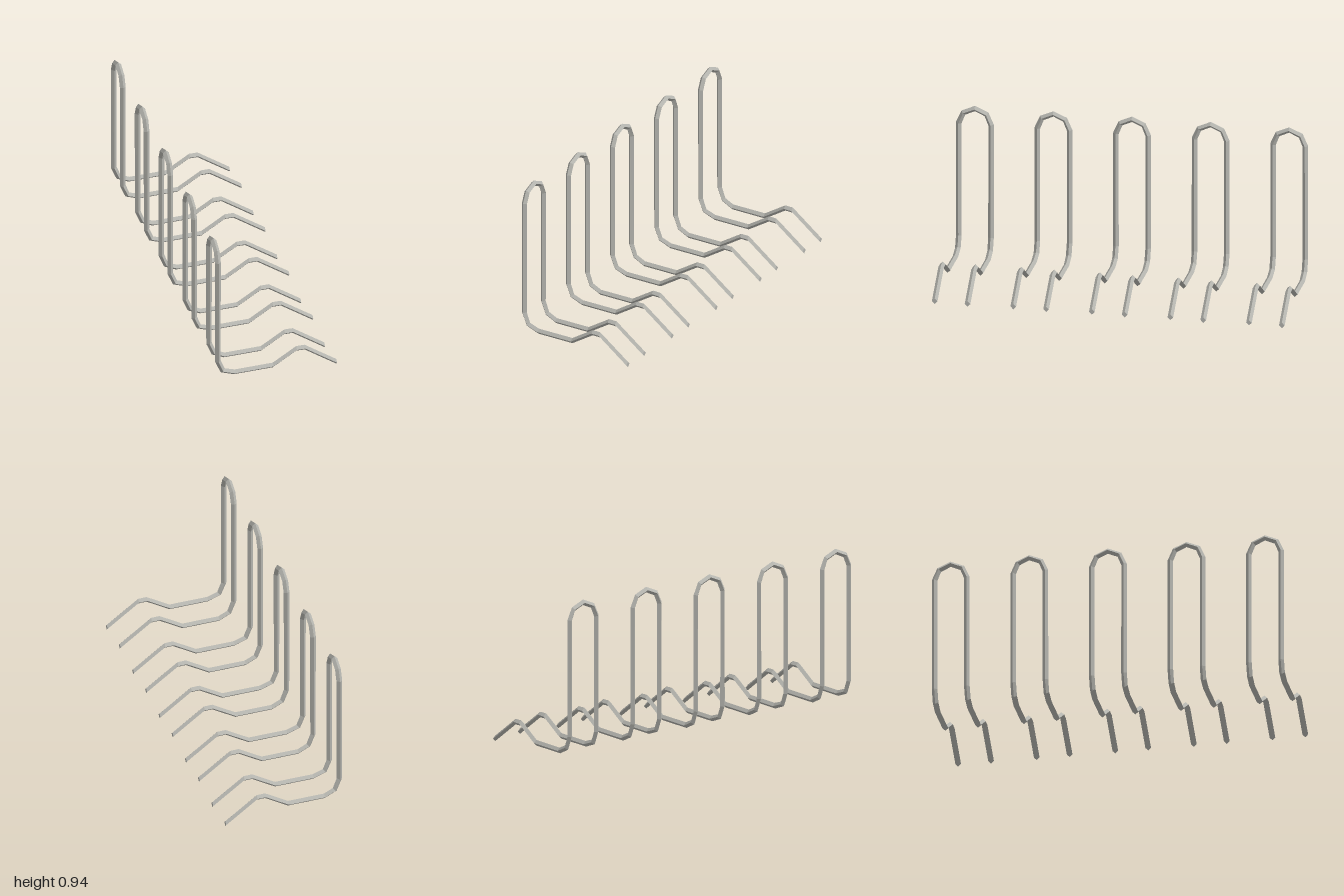
import * as THREE from 'three';

const RADIUS = 0.016;

// Rings along one bent rod: centre p, in-plane axis n, outward axis m
function rodRings() {
  // x, y, angle of n, and the small offset of the second leg
  const leg = [
    [0.352, 0.024, 90, -0.0125, -0.008],
    [0.167, 0.159, 90, -0.0125, -0.008],
    [0.118, 0.160, 90, -0.0125, -0.008],
    [-0.018, 0.076, 90, -0.0125, -0.008],
    [-0.2425, 0.076, 80, -0.002, -0.008],
    [-0.311, 0.101, 45, 0.005, -0.003],
    [-0.338, 0.168, 10, 0.005, 0],
  ];
  const legRing = ([x, y, deg, dx, dy], side) => {
    const a = THREE.MathUtils.degToRad(deg);
    const k = side < 0 ? 1 : 0;
    return {
      p: new THREE.Vector3(x + dx * k, y + dy * k, 0.092 * side),
      n: new THREE.Vector3(Math.cos(a), Math.sin(a), 0),
      m: new THREE.Vector3(0, 0, side),
    };
  };
  // arch: z, y, angle of m
  const arch = [
    [0.092, 0.836, 14], [0.066, 0.897, 47], [0, 0.926, 90],
    [-0.066, 0.897, 133], [-0.092, 0.836, 166],
  ].map(([z, y, deg]) => {
    const a = THREE.MathUtils.degToRad(deg);
    return {
      p: new THREE.Vector3(-0.3355 - z * 0.027, y, z),
      n: new THREE.Vector3(1.06, 0, 0),
      m: new THREE.Vector3(0, Math.sin(a), Math.cos(a)),
    };
  });
  return [
    ...leg.map((q) => legRing(q, 1)),
    ...arch,
    ...leg.slice().reverse().map((q) => legRing(q, -1)),
  ];
}

// Diamond section swept through the rings, with capped ends
function rodGeometry() {
  const rings = rodRings();
  const pos = [], idx = [];
  for (const { p, n, m } of rings) {
    for (const axis of [m, n, m.clone().negate(), n.clone().negate()]) {
      pos.push(...p.clone().addScaledVector(axis, RADIUS).toArray());
    }
  }
  for (let i = 0; i < rings.length - 1; i++) {
    for (let k = 0; k < 4; k++) {
      const a = i * 4 + k, b = i * 4 + (k + 1) % 4;
      idx.push(a, b, a + 4, b, b + 4, a + 4);
    }
  }
  const e = (rings.length - 1) * 4;
  idx.push(0, 3, 2, 0, 2, 1, e, e + 1, e + 2, e, e + 2, e + 3);
  const g = new THREE.BufferGeometry();
  g.setAttribute('position', new THREE.Float32BufferAttribute(pos, 3));
  g.setIndex(idx);
  const flat = g.toNonIndexed();
  flat.computeVertexNormals();
  return flat;
}

export function createModel() {
  const group = new THREE.Group();
  group.name = 'bentRodRack';
  const steel = new THREE.MeshStandardMaterial({ color: 0xb4b4ae });
  steel.name = 'greySteel';
  steel.flatShading = true;
  const geometry = rodGeometry();
  // Five identical hoops in a row
  for (let i = -2; i <= 2; i++) {
    const hoop = new THREE.Mesh(geometry, steel);
    hoop.name = `rodHoop${i + 3}`;
    hoop.position.z = i * 0.446;
    group.add(hoop);
  }
  return group;
}
